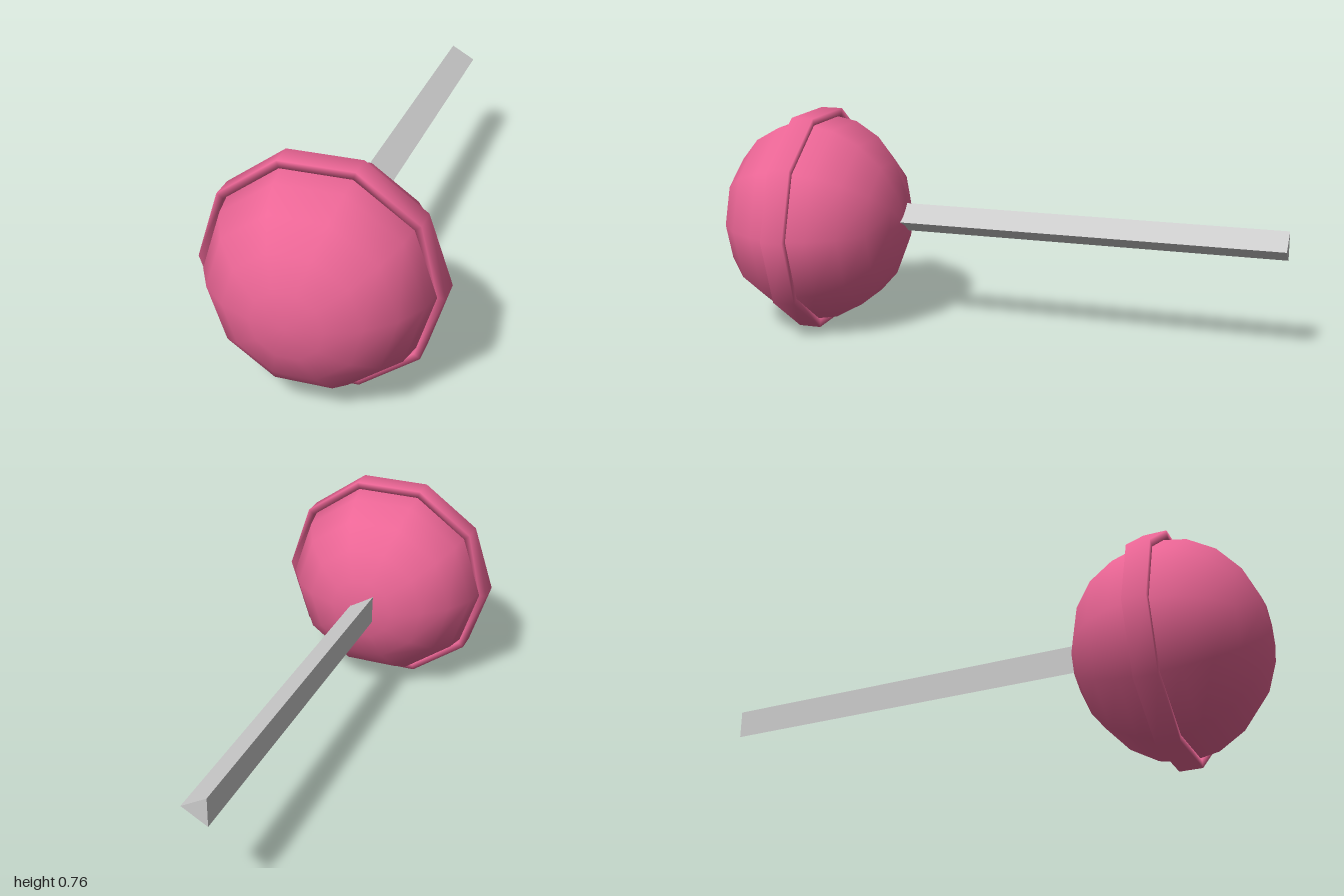
import * as THREE from 'three';

const CENTER = [0, 0.38, 0.668];
const SIDES = 10;

export function createModel() {
  const group = new THREE.Group();
  const candyMat = new THREE.MeshStandardMaterial({ color: 0xec6696 });
  const stickMat = new THREE.MeshStandardMaterial({ color: 0xcccccc, flatShading: true });

  const add = (name, geometry, material, position) => {
    const mesh = new THREE.Mesh(geometry, material);
    mesh.name = name;
    mesh.position.set(...position);
    group.add(mesh);
  };

  // Candy ball: ten-sided, poles along z, slightly flattened front to back
  const ball = new THREE.SphereGeometry(1, SIDES, 10);
  ball.rotateX(Math.PI / 2).scale(0.374, 0.374, 0.33);
  add('candyBall', ball, candyMat, CENTER);

  // Raised band around the ball, a closed rectangular section with soft normals
  const inner = 0.374, outer = 0.4, half = 0.04;
  const section = [
    [inner, 0], [inner, -half], [outer, -half], [outer, half], [inner, half], [inner, 0],
  ].map(([r, h]) => new THREE.Vector2(r, h));
  const band = new THREE.LatheGeometry(section, SIDES, Math.PI / 2);
  band.rotateX(Math.PI / 2);
  add('candyBand', band, candyMat, CENTER);

  // Three-sided stick running back from inside the ball, one edge towards +x
  const back = -1, front = 0.6;
  const stick = new THREE.CylinderGeometry(0.058, 0.058, front - back, 3, 1, false, Math.PI / 2);
  stick.rotateX(Math.PI / 2);
  add('stick', stick, stickMat, [-0.019, 0.391, (front + back) / 2]);

  return group;
}
